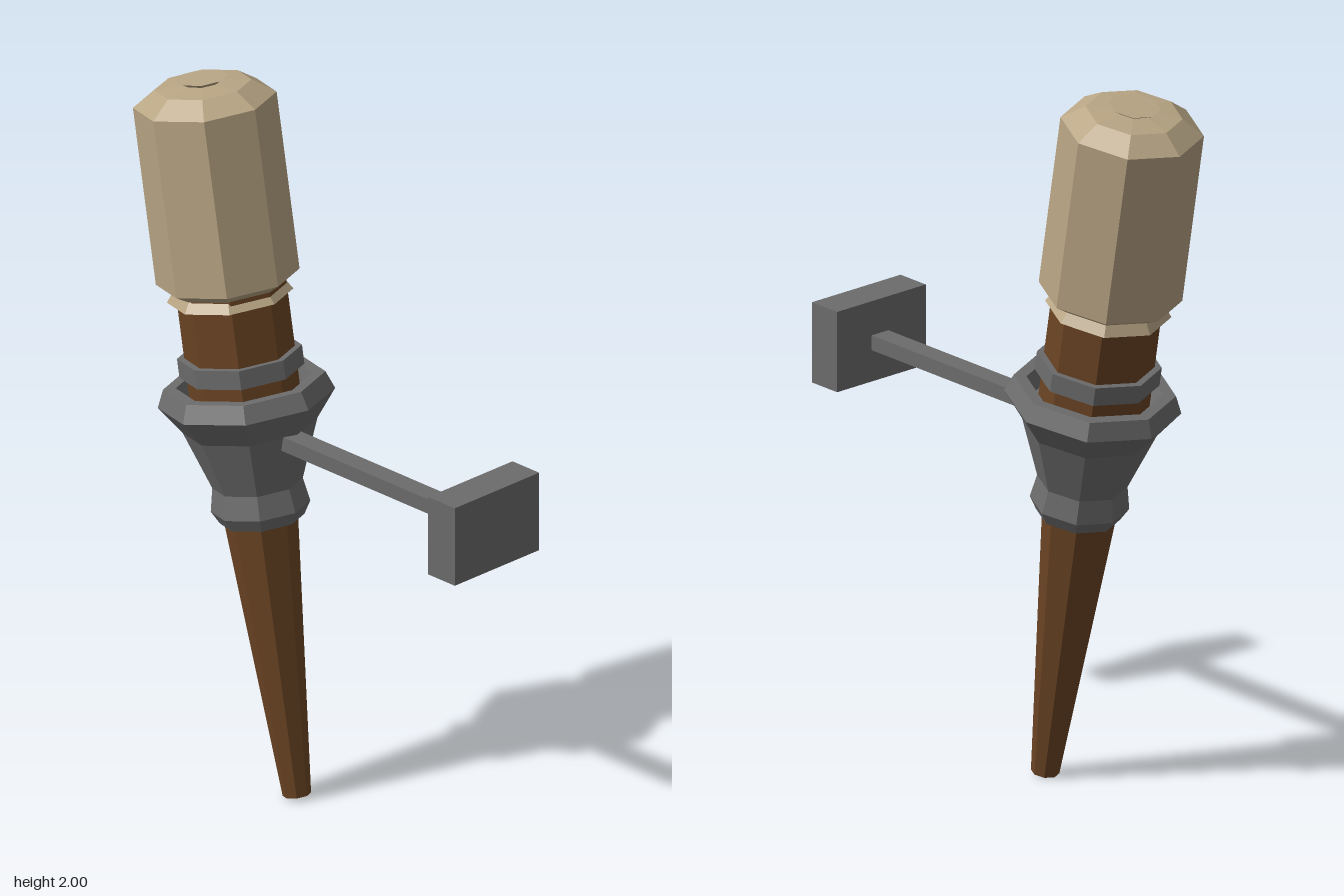
import * as THREE from 'three';

const material = (color) => new THREE.MeshStandardMaterial({ color, flatShading: true });

export function createModel() {
  const wood = material(0x6b4424);
  const cloth = material(0xb8a584);
  const iron = material(0x6c6c6c);

  const model = new THREE.Group();
  model.name = 'wallTorch';

  // Tilted torch: everything in here is turned about one leaning axis
  const torch = new THREE.Group();
  torch.name = 'torch';
  torch.position.set(-0.112, 0.007, 0);
  torch.rotation.z = THREE.MathUtils.degToRad(10);
  model.add(torch);

  // Eight-sided turned part from [radius, height] pairs, bottom to top
  function turned(name, profile, mat, x = 0) {
    const points = profile.map(([r, y]) => new THREE.Vector2(r, y));
    const mesh = new THREE.Mesh(new THREE.LatheGeometry(points, 8), mat);
    mesh.name = name;
    mesh.position.x = x;
    torch.add(mesh);
  }

  function box(name, size, position) {
    const mesh = new THREE.Mesh(new THREE.BoxGeometry(...size), iron);
    mesh.name = name;
    mesh.position.set(...position);
    model.add(mesh);
  }

  // Tapered wooden shaft, widening inside the holder
  turned('handle', [
    [0, 0], [0.038, 0], [0.1, 0.79], [0.148, 1.12], [0.148, 1.46], [0, 1.46],
  ], wood, -0.004);

  // Iron cup with a flared rim and a recessed inside
  turned('holderCup', [
    [0.09, 0.775], [0.113, 0.775], [0.133, 0.81], [0.121, 0.875],
    [0.18, 1.037], [0.237, 1.114], [0.217, 1.163], [0.183, 1.163],
    [0.165, 1.11], [0.13, 1.11],
  ], iron);

  // Loose iron band above the cup
  turned('band', [
    [0.14, 1.19], [0.167, 1.19], [0.167, 1.243], [0.14, 1.243],
  ], iron, -0.004);

  // Cloth wrapping: skirt, straight head, domed top and tied end
  turned('clothHead', [
    [0.14, 1.4], [0.169, 1.4], [0.15, 1.428], [0.192, 1.453],
    [0.192, 1.95], [0.13, 1.992], [0.05, 2.0], [0.07, 2.012], [0, 2.012],
  ], cloth, -0.012);

  // Wall bracket
  box('bracketArm', [0.76, 0.042, 0.059], [0.18, 1.039, 0.008]);
  box('wallPlate', [0.1, 0.227, 0.315], [0.6, 1.043, 0.013]);

  return model;
}
